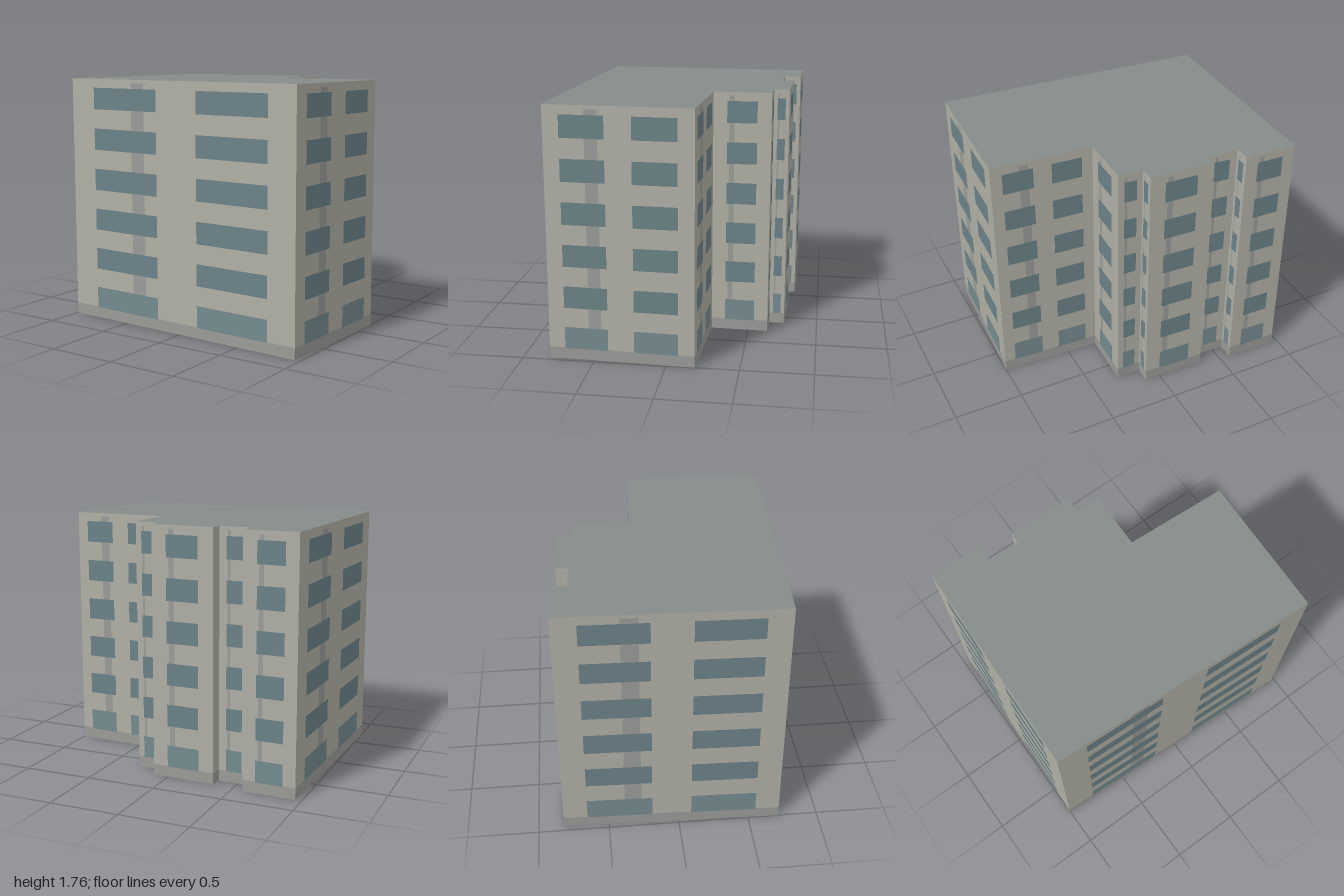
import * as THREE from 'three';

const HEIGHT = 1.765;
const FLOORS = 6;
const PLINTH = 0.08;
const FLOOR_H = HEIGHT / FLOORS;

// Footprint corners (x, z), running left to right along each wall as seen from outside
const FOOTPRINT = [
  [-1, 0.72], [0.96, 0.815], [1, -0.195], [0.275, -0.23], [0.285, -0.64], [0.11, -0.645],
  [0.11, -0.755], [-0.345, -0.77], [-0.355, -0.685], [-0.58, -0.695], [-0.58, -0.81], [-0.955, -0.82],
];

const mat = (color, side = THREE.FrontSide) => new THREE.MeshStandardMaterial({ color, side });

export function createModel() {
  const wallMat = mat(0xb0afa5, THREE.DoubleSide);
  const roofMat = mat(0x848c89, THREE.DoubleSide);
  const plinthMat = mat(0x9a9b97);
  const stripMat = mat(0x9a9c98);
  const glassMat = mat(0x6b8288);
  const groundGlassMat = mat(0x748a8f);

  const building = new THREE.Group();
  building.name = 'building';

  // Flat panel on a wall: u is measured from the wall's left end, y from the ground
  const panel = (parent, name, material, u, y, width, height, offset) => {
    const mesh = new THREE.Mesh(new THREE.PlaneGeometry(width, height), material);
    mesh.name = name;
    mesh.position.set(u, y + height / 2, offset);
    parent.add(mesh);
  };

  FOOTPRINT.forEach(([x, z], i) => {
    const [x2, z2] = FOOTPRINT[(i + 1) % FOOTPRINT.length];
    const length = Math.hypot(x2 - x, z2 - z);
    const side = new THREE.Group();
    side.name = `facade${i + 1}`;
    side.position.set(x, 0, z);
    side.rotation.y = Math.atan2(z - z2, x2 - x);
    building.add(side);

    // Wall and the darker band at its foot
    panel(side, 'wall', wallMat, length / 2, 0, length, HEIGHT, 0);
    panel(side, 'plinth', plinthMat, length / 2, 0, length, PLINTH, 0.0015);
    if (length < 0.1) return;

    // Vertical strip running behind the windows
    const stripWidth = Math.min(length * 0.088, 0.118);
    panel(side, 'verticalStrip', stripMat, length * 0.322, PLINTH, stripWidth, 1.74 - PLINTH, 0.0015);

    // Long walls have two windows per floor, short ones a single window
    const [centres, share] = length > 0.6 ? [[0.26, 0.74], 0.3] : [[0.5], 0.52];
    for (let floor = 0; floor < FLOORS; floor++) {
      for (const c of centres) {
        panel(side, 'window', floor ? glassMat : groundGlassMat,
          length * c, floor * FLOOR_H + 0.076, length * share, 0.155, 0.003);
      }
    }
  });

  // Flat roof
  const outline = new THREE.Shape(FOOTPRINT.map(([x, z]) => new THREE.Vector2(x, -z)));
  const roof = new THREE.Mesh(new THREE.ShapeGeometry(outline).rotateX(-Math.PI / 2), roofMat);
  roof.name = 'roof';
  roof.position.y = HEIGHT;
  building.add(roof);

  return building;
}
